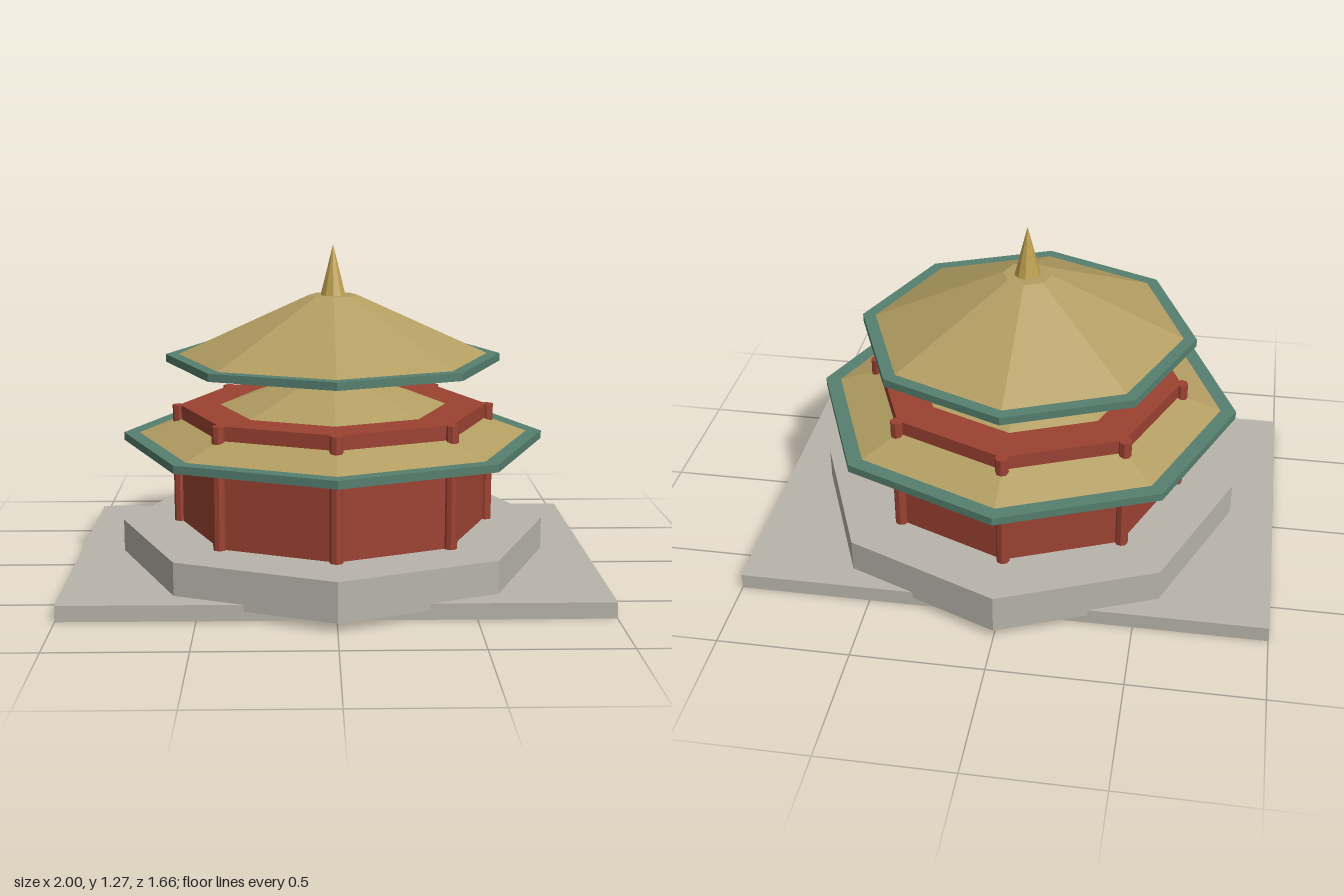
import * as THREE from 'three';

function material(name, color) {
  const m = new THREE.MeshStandardMaterial({ color, flatShading: true });
  m.name = name;
  return m;
}

export function createModel() {
  const stone = material('stone', 0xb8b4aa);
  const red = material('red lacquer', 0x9c4232);
  const gold = material('roof gold', 0xb39e62);
  const brightGold = material('finial gold', 0xbd9f4f);
  const green = material('eave green', 0x557f6f);

  const group = new THREE.Group();
  group.name = 'pavilion';

  // Faceted prism or frustum between two heights, one corner facing +z
  function prism(name, mat, rBottom, rTop, y0, y1, sides = 8) {
    const mesh = new THREE.Mesh(new THREE.CylinderGeometry(rTop, rBottom, y1 - y0, sides), mat);
    mesh.name = name;
    mesh.position.y = (y0 + y1) / 2;
    group.add(mesh);
    return mesh;
  }

  // Ground slab and octagonal terrace
  const slab = new THREE.Mesh(new THREE.BoxGeometry(2, 0.06, 1.385), stone);
  slab.name = 'slab';
  slab.position.y = 0.03;
  group.add(slab);
  prism('terrace', stone, 0.83, 0.83, 0.035, 0.185);

  // Hall walls with a column at every corner
  prism('walls', red, 0.6, 0.6, 0.185, 0.65);
  for (let i = 0; i < 8; i++) {
    const a = (i * Math.PI) / 4;
    const column = prism('column', red, 0.025, 0.025, 0.185, 0.65, 8);
    column.position.x = 0.603 * Math.sin(a);
    column.position.z = 0.603 * Math.cos(a);
  }

  // Two roof tiers, each a green eave below a gold slope
  const tiers = [
    { name: 'lower', eave: 0.82, slope: 0.76, y: 0.51 },
    { name: 'upper', eave: 0.65, slope: 0.6, y: 0.82 },
  ];
  for (const t of tiers) {
    prism(t.name + 'Eave', green, t.eave, t.eave, t.y, t.y + 0.03);
    prism(t.name + 'Roof', gold, t.slope, 0.093, t.y + 0.03, t.y + 0.26);
  }

  // Spire
  prism('finial', brightGold, 0.05, 0, 1.08, 1.275, 10);

  return group;
}
